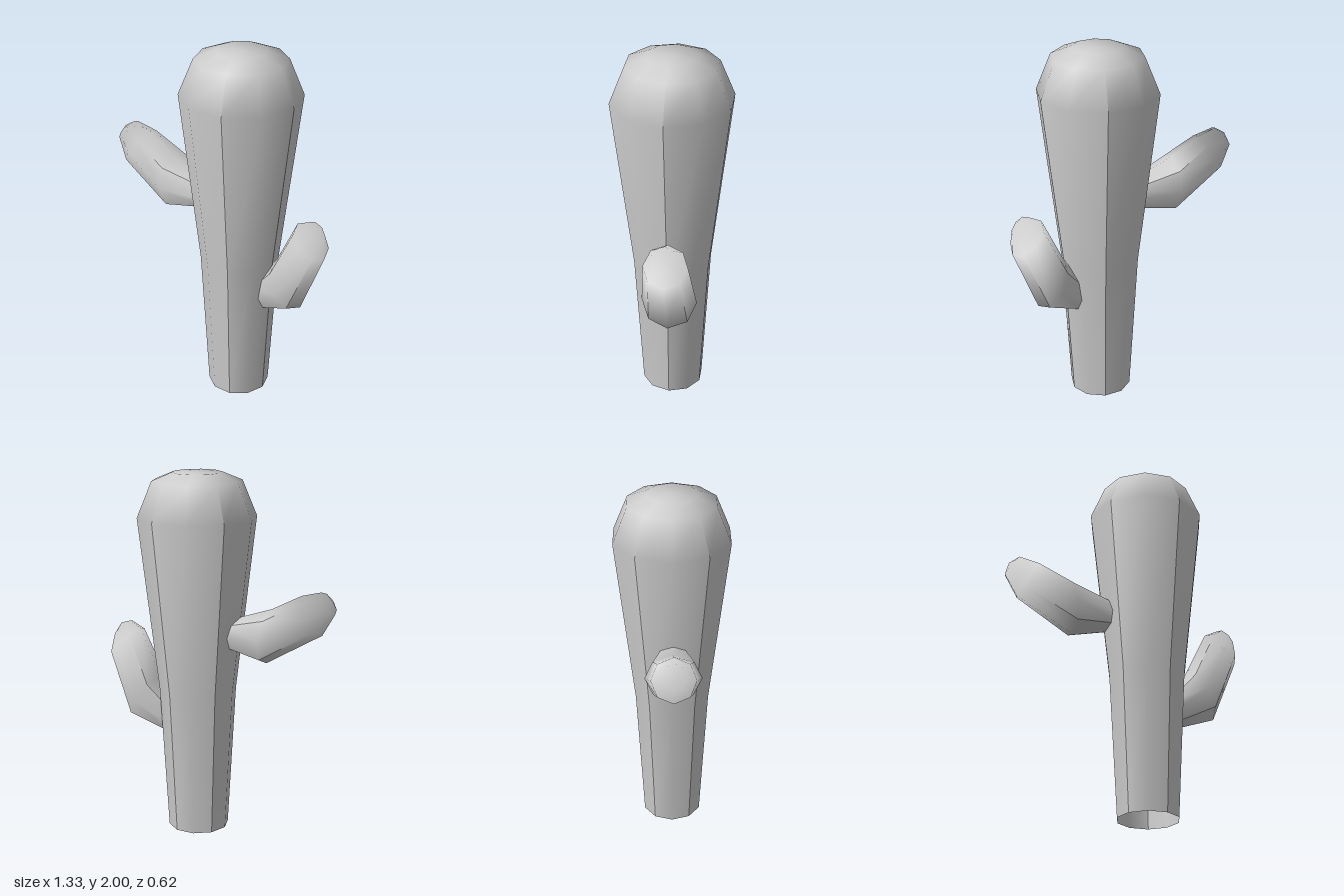
import * as THREE from 'three';
import { mergeGeometries } from 'three/addons/utils/BufferGeometryUtils.js';

const RAD = Math.PI / 180;

// Skin over rings [x, y, z, radius, axisAngle]; every two sides form one softly
// rounded panel with sharp borders, and the last three rings form a smooth tip.
function ribbedLoft(rings, panels, startAngle) {
  const step = Math.PI / panels;
  const parts = [];
  const [cx, cy, cz] = rings[rings.length - 4];
  const tipCentre = new THREE.Vector3(cx, cy, cz);
  for (let p = 0; p < panels; p++) {
    const positions = [], index = [];
    rings.forEach(([x, y, z, r, axis], j) => {
      const t = (axis - 90) * RAD;
      for (let s = 0; s < 3; s++) {
        const a = startAngle * RAD + (p * 2 + s) * step;
        const u = r * Math.cos(a);
        positions.push(x + u * Math.cos(t), y + u * Math.sin(t), z + r * Math.sin(a));
        if (s < 2 && j < rings.length - 1) {
          const i = j * 3 + s;
          index.push(i, i + 3, i + 1);
          if (j < rings.length - 2) index.push(i + 1, i + 3, i + 4);
        }
      }
    });
    const geo = new THREE.BufferGeometry();
    geo.setAttribute('position', new THREE.Float32BufferAttribute(positions, 3));
    geo.setIndex(index);
    geo.computeVertexNormals();
    const v = new THREE.Vector3();
    for (let i = (rings.length - 3) * 3; i < rings.length * 3; i++) {
      v.fromBufferAttribute(geo.attributes.position, i).sub(tipCentre).normalize();
      geo.attributes.normal.setXYZ(i, v.x, v.y, v.z);
    }
    parts.push(geo);
  }
  return mergeGeometries(parts);
}

export function createModel() {
  const group = new THREE.Group();
  group.name = 'cactus';
  const material = new THREE.MeshStandardMaterial({ color: 0xcccccc, side: THREE.DoubleSide });

  const add = (name, geometry) => {
    const mesh = new THREE.Mesh(geometry, material);
    mesh.name = name;
    group.add(mesh);
  };

  // Ten-sided trunk, open underneath, flaring up to a rounded crown
  const trunk = [[0, 0.168], [0.8, 0.213], [1.76, 0.325], [1.955, 0.245], [2, 0.135], [2, 0]];
  add('trunk', ribbedLoft(trunk.map(([y, r]) => [0.137, y, 0, r, 90]), 5, 0));

  // Upper arm, reaching out to the model's right
  add('rightArm', ribbedLoft([
    [-0.05, 1.13, 0.005, 0.08, 176],
    [-0.295, 1.15, 0.005, 0.152, 186],
    [-0.54, 1.29, 0.005, 0.117, 149],
    [-0.63, 1.365, 0.005, 0.068, 144],
    [-0.65, 1.382, 0.005, 0, 144],
  ], 4, 45));

  // Lower arm, bending upward on the model's left
  add('leftArm', ribbedLoft([
    [0.27, 0.6, -0.02, 0.08, 30],
    [0.445, 0.73, -0.025, 0.147, 32],
    [0.575, 1.03, -0.025, 0.117, 47],
    [0.605, 1.1, -0.018, 0.063, 46],
    [0.62, 1.125, -0.015, 0, 46],
  ], 4, 45));

  return group;
}
